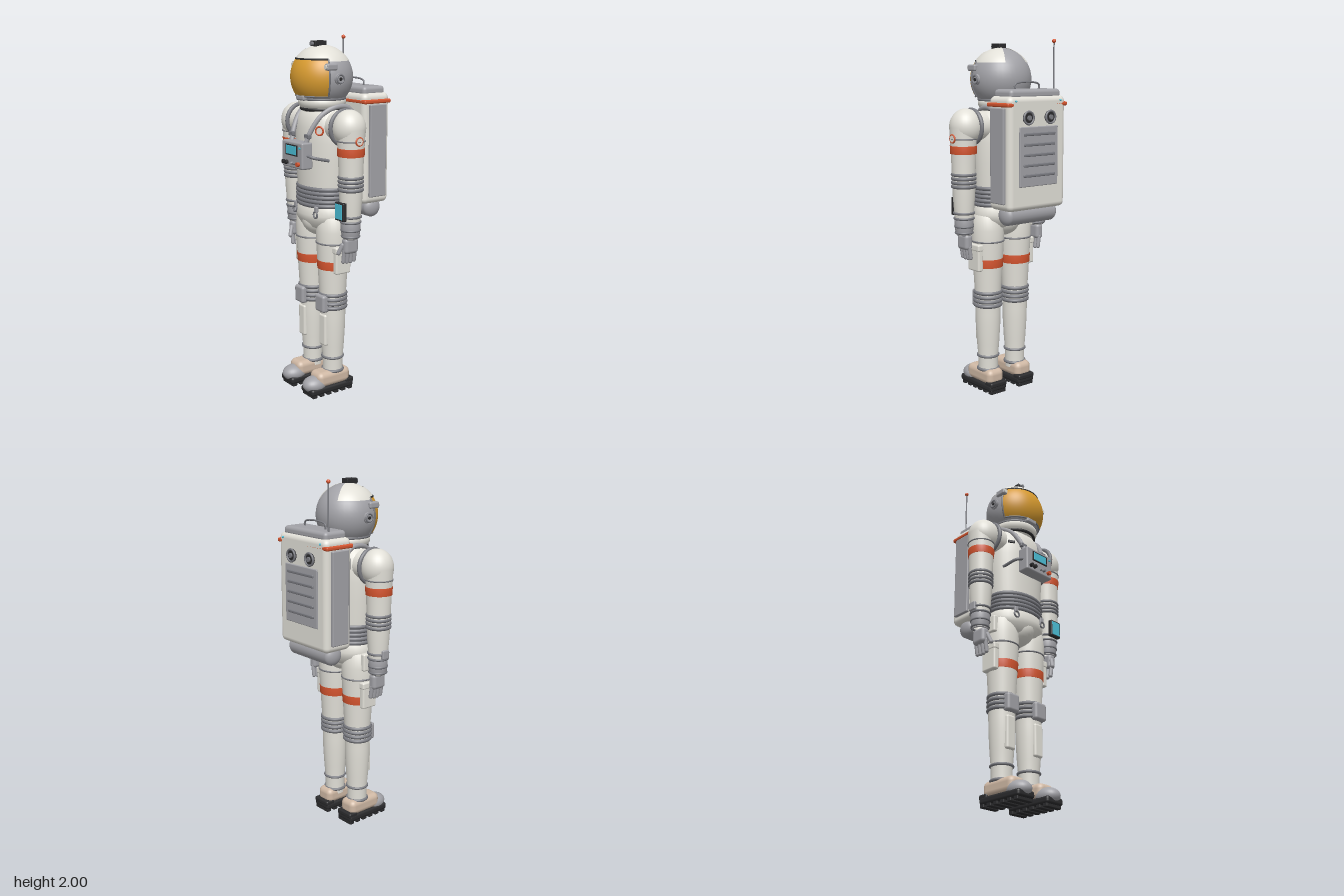
import * as THREE from 'three';
import { RoundedBoxGeometry } from 'three/addons/geometries/RoundedBoxGeometry.js';

const material = (name, color, side = THREE.FrontSide) => {
  const m = new THREE.MeshStandardMaterial({ color, side });
  m.name = name;
  return m;
};
const D = Math.PI / 180;
const V = (x, y, z) => new THREE.Vector3(x, y, z);

export function createModel() {
  const root = new THREE.Group();
  root.name = 'astronaut';
  const white = material('suit white', 0xe2e0d8, THREE.DoubleSide);
  const gray = material('light gray', 0xa2a2a7);
  const steel = material('ring gray', 0x7b7c82);
  const black = material('rubber black', 0x2b2b2d);
  const orange = material('orange', 0xd6552f);
  const gold = material('visor gold', 0xd99c30);
  const cyan = material('screen cyan', 0x4cc0d8);
  const tan = material('boot tan', 0xcfb8a4);
  const CZ = 0.06; // depth of the body axis

  const add = (name, geo, mat, x = 0, y = 0, z = 0) => {
    const m = new THREE.Mesh(geo, mat);
    m.name = name;
    m.position.set(x, y, z);
    root.add(m);
    return m;
  };
  const box = (name, mat, w, h, d, x, y, z, r = 0.01) =>
    add(name, r ? new RoundedBoxGeometry(w, h, d, 3, r) : new THREE.BoxGeometry(w, h, d), mat, x, y, z);
  const ball = (name, mat, rx, ry, rz, x, y, z) =>
    add(name, new THREE.SphereGeometry(1, 32, 20).scale(rx, ry, rz), mat, x, y, z);
  // horizontal ring, optionally squashed in depth
  const ring = (name, mat, r, t, x, y, z = CZ, sz = 1) =>
    add(name, new THREE.TorusGeometry(r, t, 10, 36).rotateX(Math.PI / 2).scale(1, 1, sz), mat, x, y, z);
  // turned form from [radius, y] pairs, bottom to top
  const lathe = (name, mat, pts, x = 0, z = CZ, sz = 1) =>
    add(name, new THREE.LatheGeometry(pts.map((p) => new THREE.Vector2(...p)), 36).scale(1, 1, sz), mat, x, 0, z);
  const tube = (name, mat, pts, r, closed = false, n = 40) =>
    add(name, new THREE.TubeGeometry(new THREE.CatmullRomCurve3(pts, closed, 'centripetal'), n, r, 8, closed), mat);
  const cyl = (name, mat, r, h, axis, x, y, z) => {
    const g = new THREE.CylinderGeometry(r, r, h, 24);
    if (axis === 'x') g.rotateZ(Math.PI / 2);
    if (axis === 'z') g.rotateX(Math.PI / 2);
    return add(name, g, mat, x, y, z);
  };

  // ---- helmet: patches of concentric spheres, angles in degrees from the front
  const HY = 1.785;
  const patch = (name, mat, r, phi0, phi1, th0, th1) =>
    add(name, new THREE.SphereGeometry(r, 40, 20, (90 + phi0) * D, (phi1 - phi0) * D, th0 * D, (th1 - th0) * D), mat, 0, HY, CZ);
  patch('helmetShell', gray, 0.169, -180, 180, 0, 180);
  patch('helmetCap', white, 0.171, -150, 150, 0, 59);
  patch('helmetBrow', white, 0.174, -72, 72, 32, 56);
  patch('visor', gold, 0.172, -68, 68, 55, 124);
  const onHelmet = (phi, th, r) =>
    V(r * Math.sin(th * D) * Math.sin(phi * D), HY + r * Math.cos(th * D), CZ + r * Math.sin(th * D) * Math.cos(phi * D));
  const arc = (th) => Array.from({ length: 13 }, (_, i) => onHelmet(-69 + i * 11.5, th, 0.172));
  const side = (phi) => Array.from({ length: 7 }, (_, i) => onHelmet(phi, 55 + i * 11.5, 0.172));
  tube('visorTopRim', black, arc(55), 0.005);
  tube('visorBottomRim', steel, arc(124), 0.005);
  for (const s of [1, -1]) {
    tube('visorSideRim', steel, side(69 * s), 0.005);
    cyl('earDisc', gray, 0.03, 0.02, 'x', s * 0.168, 1.783, 0.065);
    add('earRing', new THREE.TorusGeometry(0.022, 0.005, 8, 24).rotateY(Math.PI / 2), steel, s * 0.178, 1.783, 0.065);
    cyl('earPlug', black, 0.009, 0.012, 'x', s * 0.176, 1.783, 0.065);
    box('helmetLamp', gray, 0.034, 0.036, 0.068, s * 0.156, 1.846, 0.111);
    cyl('lampLens', white, 0.012, 0.006, 'z', s * 0.156, 1.846, 0.146);
  }
  box('helmetCamera', black, 0.048, 0.03, 0.075, 0, 1.963, 0.082, 0.004);
  cyl('cameraLens', steel, 0.011, 0.016, 'z', 0, 1.962, 0.126);
  box('chinVent', gray, 0.075, 0.03, 0.03, 0, 1.68, 0.193);

  // ---- neck and torso
  lathe('collar', white, [[0.1, 1.6], [0.122, 1.63], [0.13, 1.645], [0.13, 1.665], [0.115, 1.675]]);
  ring('collarRing', steel, 0.122, 0.01, 0, 1.672);
  ring('neckSeal', black, 0.113, 0.009, 0, 1.617);
  lathe('torso', white, [[0.155, 1.07], [0.164, 1.14], [0.168, 1.2], [0.176, 1.33], [0.18, 1.44], [0.176, 1.52],
    [0.16, 1.575], [0.13, 1.612], [0.1, 1.625], [0, 1.63]], 0, CZ, 0.72);
  for (let i = 0; i < 5; i++) ring('waistRing', steel, 0.163 + 0.002 * (i % 2), 0.012, 0, 1.095 + i * 0.023, CZ, 0.75);
  lathe('pelvis', white, [[0, 0.93], [0.08, 0.94], [0.14, 0.97], [0.172, 1.01], [0.178, 1.04], [0.17, 1.075], [0.155, 1.1]], 0, CZ, 0.74);
  ball('crotch', white, 0.09, 0.1, 0.125, 0, 1.005, CZ);
  cyl('chestPatch', white, 0.022, 0.008, 'z', 0.12, 1.51, 0.158).rotation.y = 0.5;
  add('chestPatchRing', new THREE.TorusGeometry(0.022, 0.005, 8, 24), orange, 0.12, 1.51, 0.161).rotation.y = 0.5;
  box('chestTab', black, 0.04, 0.017, 0.008, -0.122, 1.51, 0.158, 0.003).rotation.y = -0.5;
  box('hipPouch', white, 0.035, 0.1, 0.09, -0.185, 0.99, CZ);

  // ---- chest control box
  box('controlBox', gray, 0.2, 0.145, 0.07, 0, 1.377, 0.225);
  box('screenFrame', black, 0.115, 0.06, 0.006, 0, 1.403, 0.261, 0.002);
  box('screen', cyan, 0.1, 0.047, 0.006, 0, 1.403, 0.263, 0.002);
  [[-0.07, black, 0.011], [-0.043, black, 0.011], [0.007, gray, 0.007], [0.03, steel, 0.007], [0.068, orange, 0.012]]
    .forEach(([x, m, r]) => cyl('controlKnob', m, r, 0.022, 'z', x, 1.333, 0.265));
  cyl('statusLight', cyan, 0.006, 0.008, 'z', 0.078, 1.42, 0.262);

  // ---- backpack
  box('backpack', white, 0.4, 0.61, 0.18, 0, 1.395, -0.165, 0.03);
  box('packRim', orange, 0.422, 0.022, 0.182, 0, 1.655, -0.164, 0.008);
  box('packLid', gray, 0.354, 0.05, 0.146, 0, 1.71, -0.165, 0.02);
  box('packMount', steel, 0.27, 0.4, 0.06, 0, 1.38, -0.055);
  tube('packHandle', steel, [V(-0.085, 1.73, -0.16), V(-0.083, 1.76, -0.16), V(0.083, 1.76, -0.16), V(0.085, 1.73, -0.16)], 0.005);
  cyl('antenna', steel, 0.004, 0.28, 'y', -0.157, 1.85, -0.2);
  ball('antennaTip', orange, 0.011, 0.011, 0.011, -0.157, 1.989, -0.2);
  cyl('lowerTank', gray, 0.055, 0.3, 'x', 0, 1.06, -0.17);
  box('louvrePanel', gray, 0.27, 0.32, 0.012, 0, 1.38, -0.257, 0.005);
  for (let i = 0; i < 5; i++) box('louvre', steel, 0.22, 0.016, 0.014, 0, 1.28 + i * 0.055, -0.264, 0.005);
  for (const s of [1, -1]) {
    ball('tankEnd', gray, 0.035, 0.055, 0.055, s * 0.15, 1.06, -0.17);
    box('packSidePanel', gray, 0.02, 0.51, 0.112, s * 0.207, 1.385, -0.165, 0.006);
    cyl('packVent', black, 0.034, 0.016, 'z', s * 0.077, 1.587, -0.258);
    add('packVentRing', new THREE.TorusGeometry(0.033, 0.006, 8, 28), steel, s * 0.077, 1.587, -0.266);
    cyl('packVentHub', steel, 0.013, 0.02, 'z', s * 0.077, 1.587, -0.265);
    ball('packLight', cyan, 0.006, 0.006, 0.006, s * 0.157, 1.675, -0.257);

    // harness strap, box hose and belt clip
    tube('strap', gray, [V(s * 0.13, 1.56, -0.08), V(s * 0.13, 1.625, -0.02), V(s * 0.125, 1.63, 0.06), V(s * 0.105, 1.59, 0.135),
      V(s * 0.085, 1.52, 0.185), V(s * 0.068, 1.44, 0.215)], 0.014);
    box('strapBuckle', steel, 0.045, 0.025, 0.02, s * 0.077, 1.48, 0.207, 0.005);
    tube('boxHose', steel, [V(s * 0.095, 1.38, 0.225), V(s * 0.13, 1.37, 0.205), V(s * 0.15, 1.35, 0.12)], 0.009);
    box('beltTab', gray, 0.025, 0.03, 0.015, s * 0.1, 1.08, 0.17, 0.004);
    add('beltClip', new THREE.TorusGeometry(0.017, 0.005, 8, 20), steel, s * 0.1, 1.05, 0.176);

    // ---- arm
    const ax = s * 0.265;
    add('shoulderRing', new THREE.TorusGeometry(0.092, 0.012, 10, 36).rotateY(Math.PI / 2), steel, s * 0.208, 1.53, CZ);
    ball('shoulder', white, 0.091, 0.1, 0.09, s * 0.248, 1.53, CZ);
    cyl('shoulderJoint', white, 0.082, 0.08, 'x', s * 0.18, 1.53, CZ);
    lathe('arm', white, [[0.045, 0.94], [0.05, 1.0], [0.056, 1.08], [0.062, 1.16], [0.064, 1.22], [0.066, 1.3], [0.07, 1.4],
      [0.074, 1.47], [0.076, 1.53]], ax);
    lathe('armBand', orange, [[0.069, 1.385], [0.0725, 1.386], [0.0745, 1.429], [0.07, 1.43]], ax);
    ring('upperArmRing', steel, 0.074, 0.004, ax, 1.467);
    for (let i = 0; i < 4; i++) ring('elbowRing', steel, 0.061, 0.01, ax, 1.207 + i * 0.022);
    lathe('gloveCuff', gray, [[0.04, 0.935], [0.048, 0.945], [0.053, 0.99], [0.053, 1.03], [0.045, 1.035]], ax);
    for (const y of [0.95, 0.985, 1.03, 1.06]) ring('wristRing', steel, 0.046 + (y - 0.95) * 0.08, 0.007, ax, y);
    box('palm', gray, 0.05, 0.09, 0.09, s * 0.26, 0.897, CZ, 0.02);
    for (let i = 0; i < 4; i++) {
      const f = add('finger', new THREE.CapsuleGeometry(0.0115, 0.062, 5, 10), gray, s * 0.253, 0.832 + Math.abs(i - 1.5) * 0.004, 0.024 + i * 0.024);
      f.rotation.z = -s * 0.15;
    }
    const thumb = add('thumb', new THREE.CapsuleGeometry(0.012, 0.05, 5, 10), gray, s * 0.245, 0.88, 0.112);
    thumb.rotation.set(-0.35, 0, -s * 0.25);

    // ---- leg
    const lx = s * 0.1;
    lathe('leg', white, [[0.056, 0.1], [0.057, 0.2], [0.064, 0.28], [0.071, 0.4], [0.072, 0.46], [0.073, 0.54], [0.077, 0.62],
      [0.084, 0.74], [0.091, 0.87], [0.093, 0.95], [0.085, 1.03], [0.05, 1.06]], lx);
    ring('thighRing', steel, 0.091, 0.005, lx, 0.885);
    lathe('thighBand', orange, [[0.083, 0.735], [0.086, 0.736], [0.089, 0.784], [0.085, 0.785]], lx);
    for (let i = 0; i < 4; i++) ring('kneeRing', steel, 0.073, 0.011, lx, 0.512 + i * 0.025);
    box('kneePad', gray, 0.085, 0.1, 0.05, s * 0.103, 0.54, 0.133, 0.015);
    box('shinPad', white, 0.062, 0.185, 0.03, s * 0.103, 0.38, 0.123, 0.012);
    box('thighPouch', white, 0.035, 0.15, 0.1, s * 0.187, 0.795, CZ);
    box('pouchFlap', white, 0.04, 0.04, 0.106, s * 0.187, 0.855, CZ);
    ring('ankleRing', steel, 0.058, 0.008, lx, 0.21);
    ring('bootCuff', steel, 0.057, 0.009, lx, 0.13);

    // ---- boot
    const bx = s * 0.104;
    box('bootUpper', tan, 0.112, 0.09, 0.22, bx, 0.092, 0.082, 0.032);
    ball('toeCap', gray, 0.059, 0.047, 0.075, bx, 0.066, 0.188);
    box('sole', black, 0.12, 0.04, 0.29, bx, 0.036, 0.1, 0.015);
    box('heelCounter', black, 0.116, 0.03, 0.06, bx, 0.055, -0.018);
    for (let i = 0; i < 6; i++) box('tread', black, 0.108, 0.024, 0.03, bx, 0.012, -0.026 + i * 0.049, 0.004);
  }

  // ---- single-sided arm details
  box('wristDisplayFrame', black, 0.078, 0.1, 0.026, 0.26, 1.092, 0.122, 0.006);
  box('wristDisplay', cyan, 0.06, 0.082, 0.006, 0.26, 1.092, 0.135, 0.002);
  box('wristGauge', gray, 0.02, 0.05, 0.045, -0.32, 1.06, CZ, 0.006);
  cyl('armPatch', white, 0.021, 0.01, 'x', 0.337, 1.47, CZ);
  add('armPatchRing', new THREE.TorusGeometry(0.021, 0.005, 8, 24).rotateY(Math.PI / 2), orange, 0.338, 1.47, CZ);

  return root;
}
